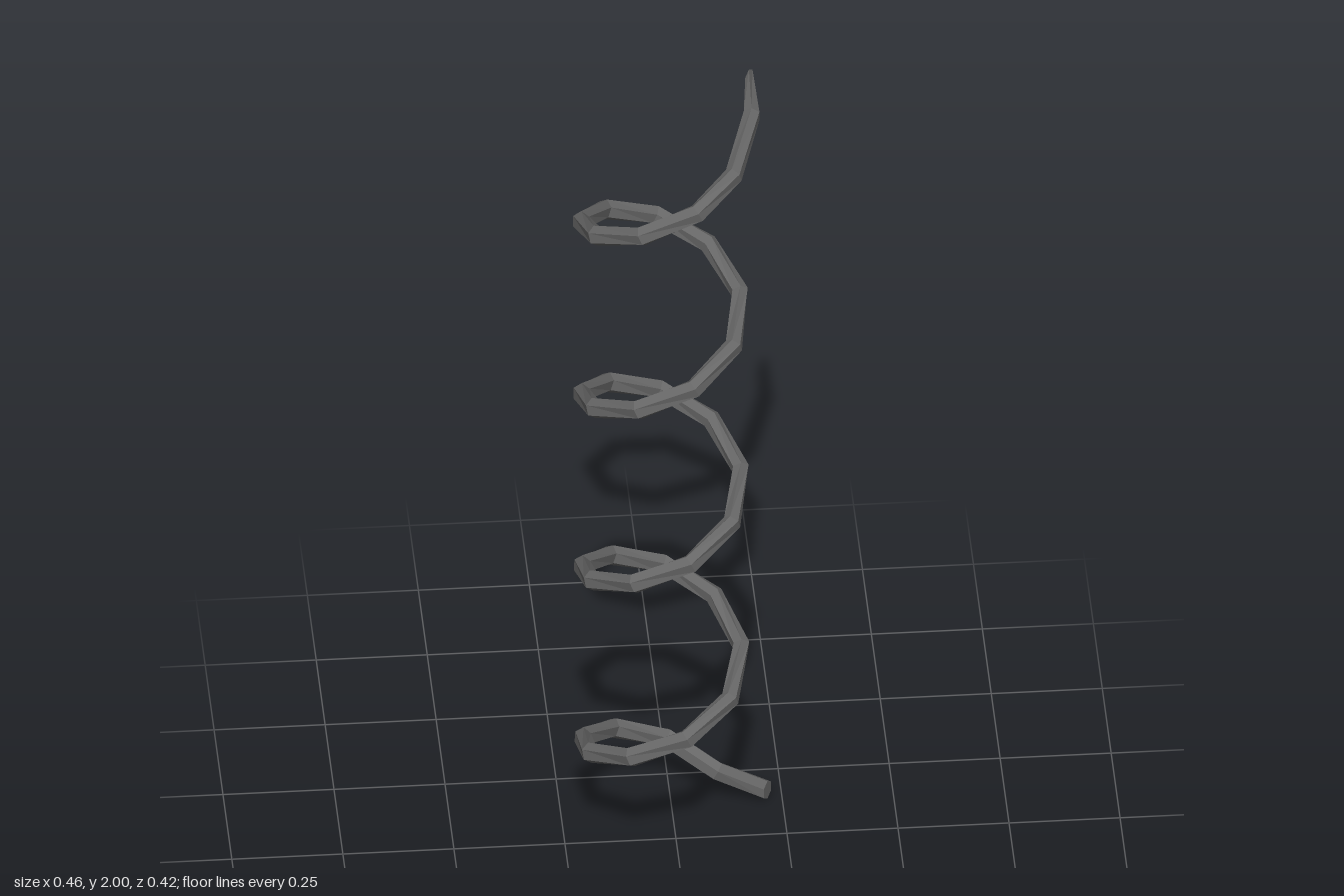
import * as THREE from 'three';

const SIDES = 6;                           // hexagonal wire
const WIRE_HIGH = 0.024, WIRE_WIDE = 0.0205; // wire radii
const COIL_X = 0.181, COIL_Z = 0.195;      // coil radii
const V = (x, y, z) => new THREE.Vector3(x, y, z);

// Wire centre line from the top end down to the bottom end
function springPath() {
  const pts = [V(0.177, 1.976, -0.159), V(0.174, 1.958, -0.042), V(0.121, 1.907, 0.115)];
  for (let k = 3; k <= 36; k++) {
    const a = THREE.MathUtils.degToRad(270 + 40.3 * (k - 8));
    pts.push(V(-0.033 + COIL_X * Math.cos(a), 1.535 - 0.0535 * (k - 9), 0.003 + COIL_Z * Math.sin(a)));
  }
  pts.push(V(0.217, 0.024, -0.137));
  return pts;
}

// Sweep a polygon along straight segments with mitred corners and slanted ends
function wireGeometry(pts) {
  const cut = V(0.85, 0, 0.53).normalize();
  const last = pts.length - 1;
  const pos = [], index = [];
  pts.forEach((p, i) => {
    let t = cut;
    if (i > 0 && i < last) {
      const before = p.clone().sub(pts[i - 1]).normalize();
      const after = pts[i + 1].clone().sub(p).normalize();
      t = before.add(after).normalize();
    }
    const n = V(0, 1, 0).addScaledVector(t, -t.y).normalize();
    const b = t.clone().cross(n);
    for (let j = 0; j < SIDES; j++) {
      const a = (j / SIDES) * Math.PI * 2;
      const q = p.clone()
        .addScaledVector(n, WIRE_HIGH * Math.cos(a))
        .addScaledVector(b, WIRE_WIDE * Math.sin(a));
      pos.push(q.x, q.y, q.z);
    }
  });
  for (let i = 0; i < last; i++) {
    for (let j = 0; j < SIDES; j++) {
      const k = (j + 1) % SIDES;
      const a = i * SIDES + j, b = i * SIDES + k;
      index.push(a, b, b + SIDES, a, b + SIDES, a + SIDES);
    }
  }
  // end caps
  const e = last * SIDES;
  for (let j = 1; j < SIDES - 1; j++) {
    index.push(0, j + 1, j, e, e + j, e + j + 1);
  }
  const g = new THREE.BufferGeometry();
  g.setAttribute('position', new THREE.Float32BufferAttribute(pos, 3));
  g.setIndex(index);
  const flat = g.toNonIndexed();
  flat.computeVertexNormals();
  return flat;
}

export function createModel() {
  const group = new THREE.Group();
  group.name = 'spring';
  const material = new THREE.MeshStandardMaterial({ color: 0x666666, flatShading: true });
  const coil = new THREE.Mesh(wireGeometry(springPath()), material);
  coil.name = 'coiledWire';
  group.add(coil);
  return group;
}
